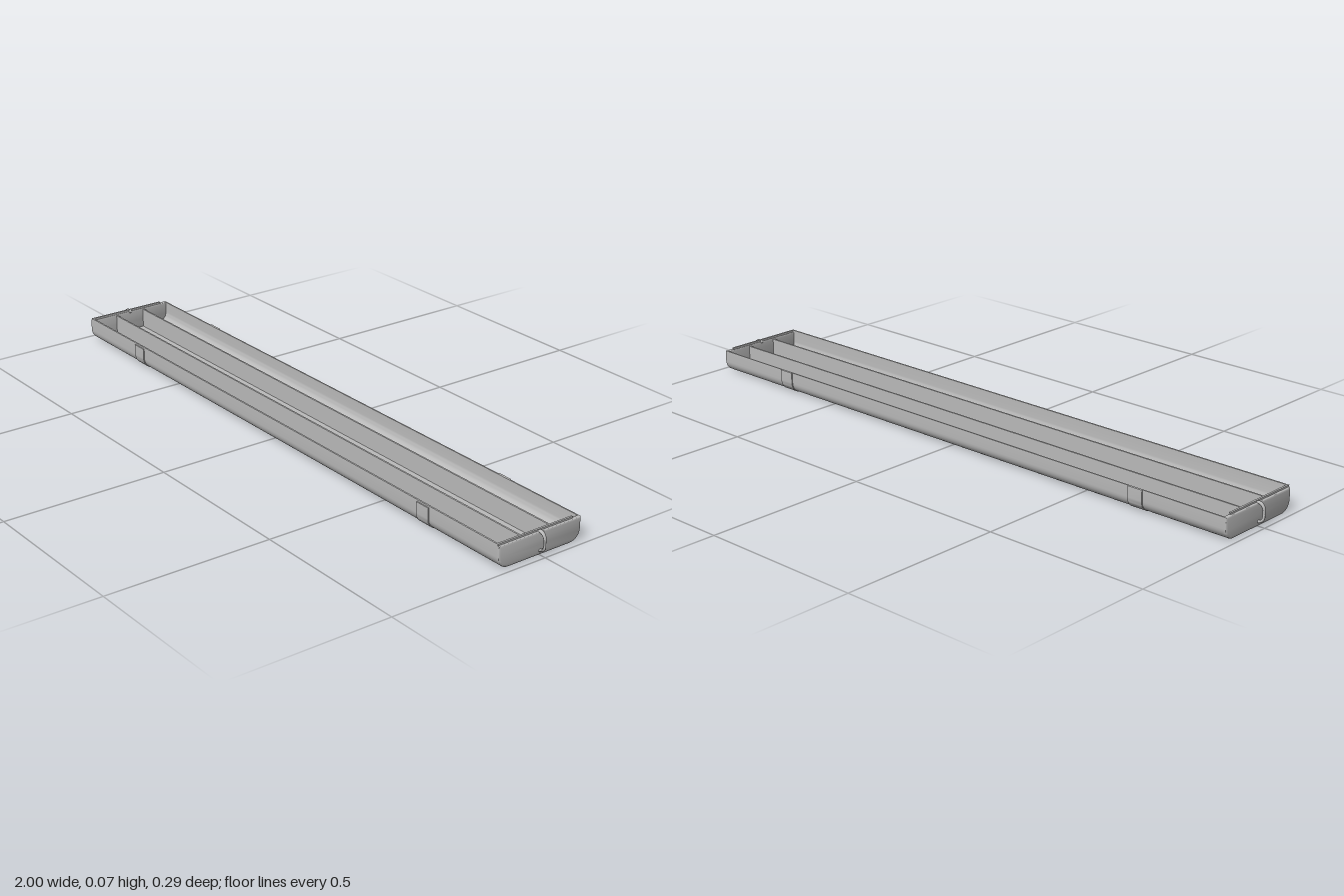
import * as THREE from 'three';
import { toCreasedNormals } from 'three/addons/utils/BufferGeometryUtils.js';

const metal = new THREE.MeshStandardMaterial({ color: 0xbababa });
metal.name = 'light grey metal';

const HALF_LENGTH = 0.98, HALF_WIDTH = 0.141, RIM = 0.067, CORNER = 0.034, WALL = 0.004;

// Points of a U profile (z, y) with rounded lower corners, from rim to rim
function uProfile(half, bottom, radius, top = RIM) {
  const pts = [new THREE.Vector2(-half, top)];
  for (const side of [-1, 1]) {
    for (let i = 0; i <= 8; i++) {
      const a = (side < 0 ? Math.PI : Math.PI * 1.5) + (i / 8) * Math.PI / 2;
      pts.push(new THREE.Vector2(
        side * (half - radius) + radius * Math.cos(a),
        bottom + radius + radius * Math.sin(a)));
    }
  }
  pts.push(new THREE.Vector2(half, top));
  return pts;
}

// Extrude a z-y outline along x, centred on x = 0
function extrudeAlongX(points, length, bevel = 0) {
  const geo = new THREE.ExtrudeGeometry(new THREE.Shape(points), {
    depth: length - 2 * bevel, bevelEnabled: bevel > 0, bevelSize: bevel,
    bevelThickness: bevel, bevelOffset: -bevel, bevelSegments: 3,
  });
  geo.translate(0, 0, -length / 2 + bevel);
  geo.rotateY(-Math.PI / 2);
  return toCreasedNormals(geo, 0.6);
}

export function createModel() {
  const group = new THREE.Group();
  const add = (name, geo, x = 0, y = 0, z = 0) => {
    const mesh = new THREE.Mesh(geo, metal);
    mesh.name = name;
    mesh.position.set(x, y, z);
    group.add(mesh);
    return mesh;
  };

  // Long open tray
  const outer = uProfile(HALF_WIDTH, 0, CORNER);
  const inner = uProfile(HALF_WIDTH - WALL, WALL, CORNER - WALL).reverse();
  add('tray', extrudeAlongX([...outer, ...inner], 2 * HALF_LENGTH - 0.012));

  // Thin lengthwise dividers
  for (const z of [-0.05, 0.05]) {
    add('divider', new THREE.BoxGeometry(2 * HALF_LENGTH - 0.02, 0.06, 0.005), 0, 0.033, z);
  }

  // Raised lip on the front rim
  add('frontLip', new THREE.BoxGeometry(2 * HALF_LENGTH - 0.02, 0.006, 0.005), 0, 0.069, HALF_WIDTH - 0.0025);

  // Side clip outline: a strap hugging the wall and lower corner
  const strapOuter = uProfile(HALF_WIDTH + 0.0035, -0.0005, CORNER + 0.002).slice(11);
  const strapInner = uProfile(HALF_WIDTH - 0.001, 0.001, CORNER - 0.001).slice(11).reverse();
  const strap = extrudeAlongX([...strapOuter, ...strapInner], 0.048);

  for (const side of [-1, 1]) {
    // Closed end with softened edges, and the narrow bar along its rim
    add('endCap', extrudeAlongX(uProfile(HALF_WIDTH, 0, CORNER), 0.014, 0.005), side * (HALF_LENGTH - 0.007));
    add('endLip', new THREE.BoxGeometry(0.006, 0.007, 0.257), side * (HALF_LENGTH - 0.009), 0.0685, 0.0125);

    for (const x of [-0.685, 0.685]) {
      const clip = add('sideClip', strap, x);
      if (side < 0) clip.rotation.y = Math.PI;
    }

    // Bowed end latch, pinched at mid height
    const path = new THREE.CatmullRomCurve3([
      [0.968, 0.066], [0.984, 0.066], [0.994, 0.056], [0.996, 0.038], [0.994, 0.022], [0.984, 0.014], [0.974, 0.014],
    ].map(([x, y]) => new THREE.Vector3(side * x, y, 0)));
    const latch = new THREE.TubeGeometry(path, 32, 0.004, 8);
    const pos = latch.attributes.position;
    for (let i = 0; i < pos.count; i++) {
      const t = (pos.getY(i) - 0.038) / 0.026;
      pos.setZ(i, pos.getZ(i) * (0.65 + 0.8 * Math.min(1, Math.abs(t))));
    }
    latch.computeVertexNormals();
    add('endLatch', latch);
    for (const [x, y] of [[0.968, 0.066], [0.974, 0.014]]) {
      add('latchFoot', new THREE.SphereGeometry(0.0055, 10, 8), side * x, y);
    }
  }
  return group;
}
